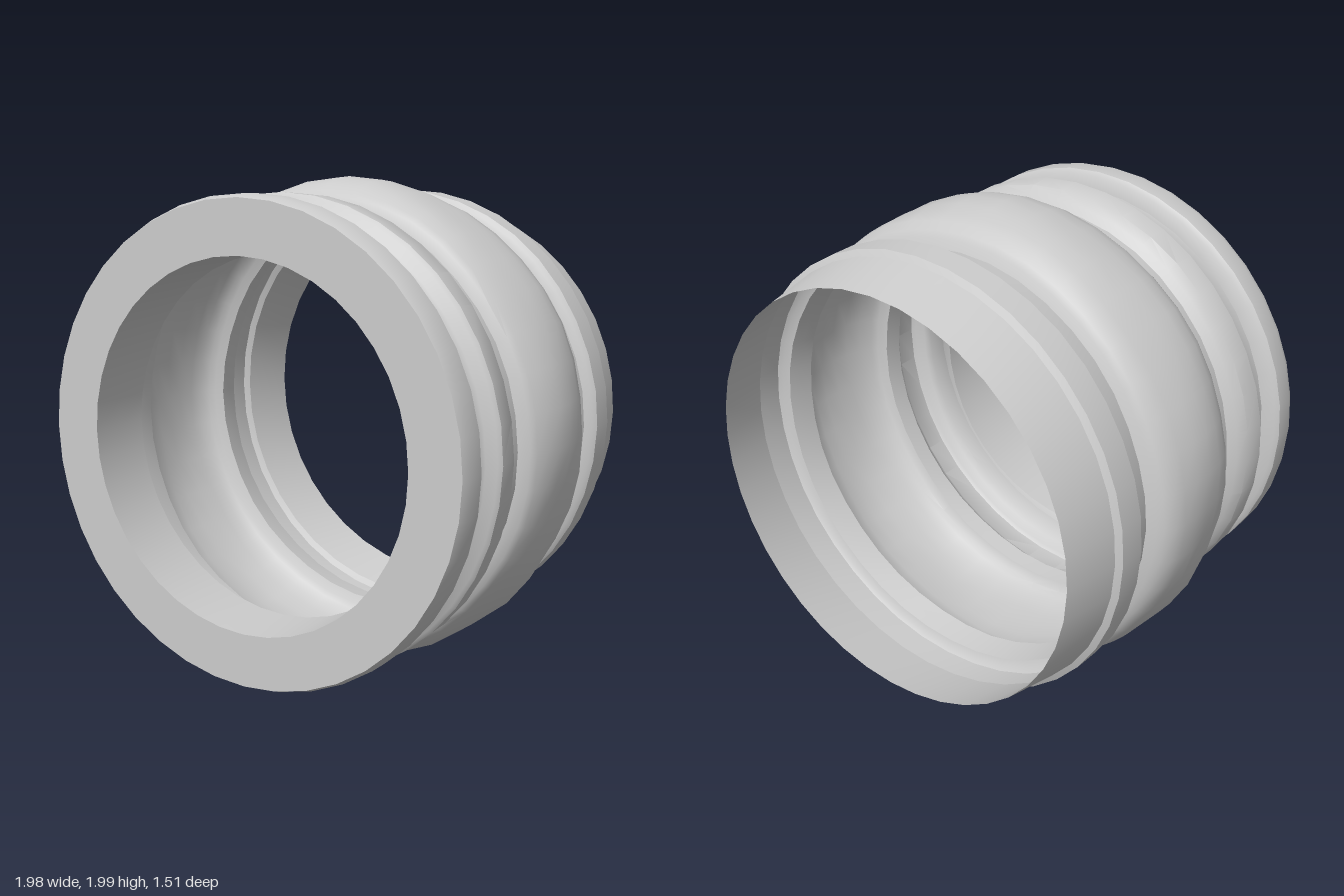
import * as THREE from 'three';
import { toCreasedNormals } from 'three/addons/utils/BufferGeometryUtils.js';

const CENTRE_Y = 0.993;
const SEGMENTS = 40;

// Revolve [z, radius] points about the z axis, with slight hand-worn unevenness.
function revolve(name, profile, material) {
  const points = profile.map(([z, r]) => new THREE.Vector2(r, z));
  const geometry = new THREE.LatheGeometry(points, SEGMENTS);
  geometry.rotateX(Math.PI / 2);
  const pos = geometry.attributes.position;
  for (let i = 0; i < pos.count; i++) {
    const x = pos.getX(i), y = pos.getY(i), z = pos.getZ(i);
    const a = Math.atan2(y, x);
    // strongest on the central bulge, absent at both rims
    const amount = 0.008 * Math.exp(-Math.pow(z / 0.2, 2)) + 0.003 * Math.max(0, 1 - Math.pow(z / 0.6, 2));
    const wave = 0.6 * Math.sin(5 * a + 9 * z) + 0.5 * Math.sin(9 * a - 14 * z + 1) + 0.4 * Math.sin(3 * a + 2);
    const k = 1 + amount * wave;
    pos.setXY(i, x * k, y * k);
  }
  const mesh = new THREE.Mesh(toCreasedNormals(geometry, 0.65), material);
  mesh.name = name;
  mesh.position.y = CENTRE_Y;
  return mesh;
}

export function createModel() {
  const group = new THREE.Group();
  group.name = 'ribbedSleeve';
  const material = new THREE.MeshStandardMaterial({ color: 0xcccccc, side: THREE.DoubleSide });

  // Thin outer wall from the open tapered back to the front rim
  const wall = [
    [-0.755, 0.87], [-0.525, 0.915], [-0.51, 0.94], [-0.395, 0.942], [-0.38, 0.925],
    [-0.37, 0.895], [-0.32, 0.885], [-0.265, 0.875], [-0.25, 0.91], [-0.235, 0.935],
    [-0.2, 0.962], [-0.15, 0.975], [-0.08, 0.988], [0, 0.99], [0.08, 0.986],
    [0.15, 0.97], [0.2, 0.948], [0.225, 0.93], [0.24, 0.887], [0.32, 0.882],
    [0.345, 0.912], [0.38, 0.94], [0.475, 0.944], [0.49, 0.93], [0.505, 0.89],
    [0.53, 0.872], [0.615, 0.872], [0.625, 0.925], [0.64, 0.943], [0.72, 0.943], [0.755, 0.93],
  ];
  group.add(revolve('ribbedWall', wall, material));

  // Flat ring closing the front down to the opening
  group.add(revolve('frontFlange', [[0.755, 0.93], [0.755, 0.72]], material));

  // Short collar turned back inside the opening
  group.add(revolve('innerCollar', [[0.755, 0.72], [0.62, 0.718], [0.49, 0.718]], material));

  return group;
}
